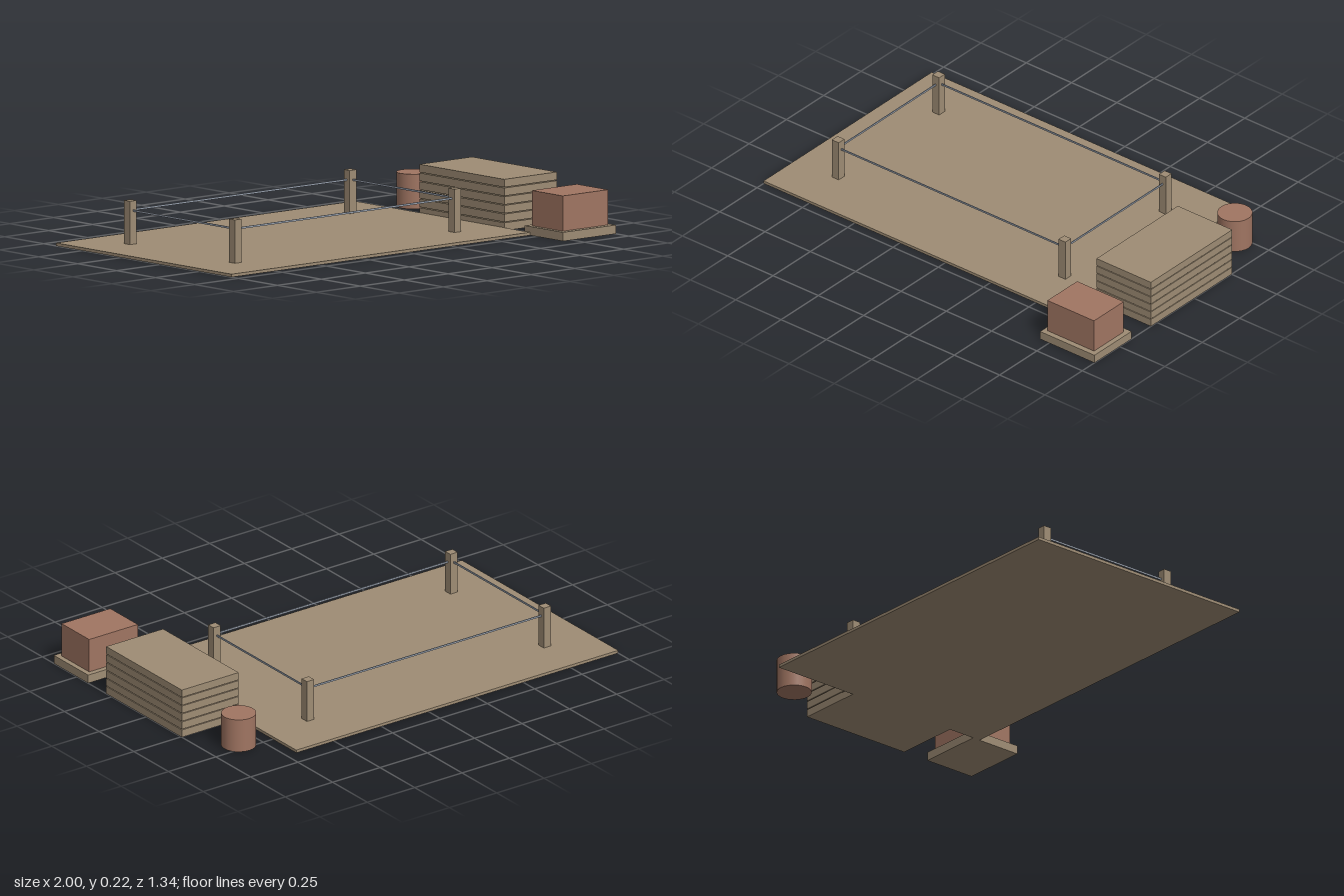
import * as THREE from 'three';

export function createModel() {
  const root = new THREE.Group();
  root.name = 'buildingSite';
  const mat = (name, color) => {
    const m = new THREE.MeshStandardMaterial({ color });
    m.name = name;
    return m;
  };
  const tan = mat('tanWood', 0x9e8c74);
  const clay = mat('clayRed', 0xa07562);
  const cord = mat('greyBlueCord', 0x98a1ae);

  // Box given by its minimum and maximum corners
  const box = (name, m, [x0, y0, z0], [x1, y1, z1], parent = root) => {
    const mesh = new THREE.Mesh(new THREE.BoxGeometry(x1 - x0, y1 - y0, z1 - z0), m);
    mesh.position.set((x0 + x1) / 2, (y0 + y1) / 2, (z0 + z1) / 2);
    mesh.name = name;
    parent.add(mesh);
    return mesh;
  };

  // Ground slab
  box('groundSlab', tan, [-1, 0, -0.67], [0.7, 0.013, 0.456]);

  // Marker posts joined by a thin cord
  const fence = new THREE.Group();
  fence.name = 'cordFence';
  root.add(fence);
  const xs = [-0.777, 0.474], zs = [-0.445, 0.228];
  const p = 0.019, t = 0.002, low = 0.154, high = 0.162;
  for (const x of xs) {
    for (const z of zs) box('cornerPost', tan, [x - p, 0.013, z - p], [x + p, 0.2, z + p], fence);
    box('sideCord', cord, [x - t, low, zs[0]], [x + t, high, zs[1]], fence);
  }
  for (const z of zs) box('longCord', cord, [xs[0], low, z - t], [xs[1], high, z + t], fence);

  // Stack of six boards with narrow gaps
  const stack = new THREE.Group();
  stack.name = 'boardStack';
  root.add(stack);
  for (let i = 0; i < 6; i++) {
    const y = i * 0.0375;
    box('board', tan, [0.7, y, -0.255], [1, y + 0.034, 0.29], stack);
  }

  // Block on a pallet
  box('pallet', tan, [0.7, 0, 0.42], [1, 0.038, 0.668]);
  box('palletLoad', clay, [0.72, 0.038, 0.444], [0.977, 0.19, 0.643]);

  // Barrel
  const barrel = new THREE.Mesh(new THREE.CylinderGeometry(0.075, 0.075, 0.15, 24), clay);
  barrel.position.set(0.848, 0.075, -0.457);
  barrel.name = 'barrel';
  root.add(barrel);

  return root;
}
